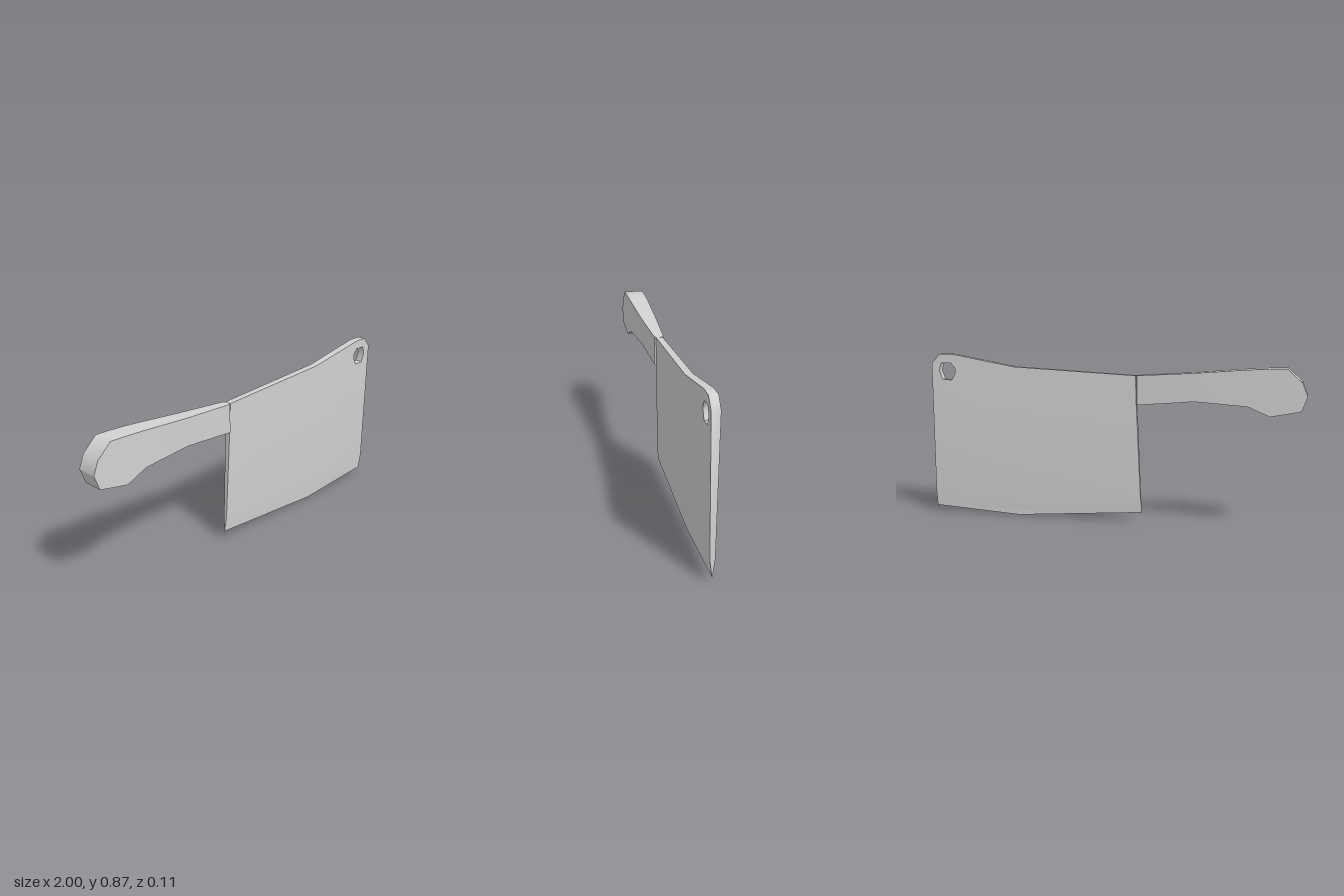
import * as THREE from 'three';
import { mergeGeometries, toCreasedNormals } from 'three/addons/utils/BufferGeometryUtils.js';

const steel = new THREE.MeshStandardMaterial({ color: 0xd2d2d2 });
steel.name = 'light grey steel';

const toVectors = points => points.map(([x, y]) => new THREE.Vector2(x, y));

// Extrude an outline to z = -1..1, then scale each point to its half thickness
function slab(points, halfThickness, holePoints) {
  const shape = new THREE.Shape(toVectors(points));
  if (holePoints) shape.holes.push(new THREE.Path(toVectors(holePoints)));
  const geo = new THREE.ExtrudeGeometry(shape, { depth: 2, bevelEnabled: false });
  const p = geo.attributes.position;
  for (let i = 0; i < p.count; i++) {
    p.setZ(i, (p.getZ(i) - 1) * halfThickness(p.getX(i), p.getY(i)));
  }
  geo.computeVertexNormals();
  return geo;
}

// Loft rectangular sections [x, top, bottom, halfThickness] towards +x
function loft(sections) {
  const pos = [], idx = [];
  for (const [x, t, b, h] of sections) pos.push(x, t, h, x, t, -h, x, b, -h, x, b, h);
  for (let s = 0; s < sections.length - 1; s++) {
    for (let k = 0; k < 4; k++) {
      const a = s * 4 + k, b = s * 4 + (k + 1) % 4;
      idx.push(a, a + 4, b, b, a + 4, b + 4);
    }
  }
  // End caps
  const e = (sections.length - 1) * 4;
  idx.push(0, 1, 2, 0, 2, 3, e, e + 2, e + 1, e, e + 3, e + 2);
  const geo = new THREE.BufferGeometry();
  geo.setAttribute('position', new THREE.Float32BufferAttribute(pos, 3));
  geo.setIndex(idx);
  return toCreasedNormals(geo, 0.8);
}

export function createModel() {
  const group = new THREE.Group();
  group.name = 'cleaver';
  const add = (name, geo) => {
    const mesh = new THREE.Mesh(geo, steel);
    mesh.name = name;
    group.add(mesh);
  };

  // Blade: tapered body with a hanging hole, and a wedge down to the cutting edge
  const edge = [[-0.165, 0.05], [0.52, 0], [1, 0.03]];
  const shoulder = [[-0.158, 0.14], [0.52, 0.09], [1, 0.12]];
  const spine = [[1, 0.82], [0.955, 0.873], [0.88, 0.873], [0.53, 0.81], [-0.13, 0.775], [-0.135, 0.625]];
  const hole = [[0.89, 0.825], [0.945, 0.824], [0.958, 0.784], [0.94, 0.736], [0.887, 0.733], [0.867, 0.768], [0.867, 0.8]];
  const thickness = (x, y) => 0.011 + 0.0125 * y + 0.003 * (x - 1);
  const isEdge = (x, y) => edge.some(([ex, ey]) => Math.hypot(x - ex, y - ey) < 0.001);
  const body = slab([...shoulder, ...spine], thickness, hole);
  const wedge = slab([...edge, ...[...shoulder].reverse()],
    (x, y) => isEdge(x, y) ? 0.0012 : thickness(x, y));
  add('blade', toCreasedNormals(mergeGeometries([body, wedge]), 0.9));

  // Handle: swelling towards the butt, with a steep chamfer where it meets the blade
  add('handle', loft([
    [-1, 0.692, 0.688, 0.053],
    [-0.973, 0.757, 0.615, 0.053],
    [-0.9, 0.825, 0.6, 0.053],
    [-0.82, 0.823, 0.585, 0.053],
    [-0.71, 0.817, 0.632, 0.051],
    [-0.44, 0.795, 0.65, 0.041],
    [-0.14, 0.776, 0.623, 0.025],
    [-0.132, 0.775, 0.625, 0.013],
  ]));
  return group;
}
